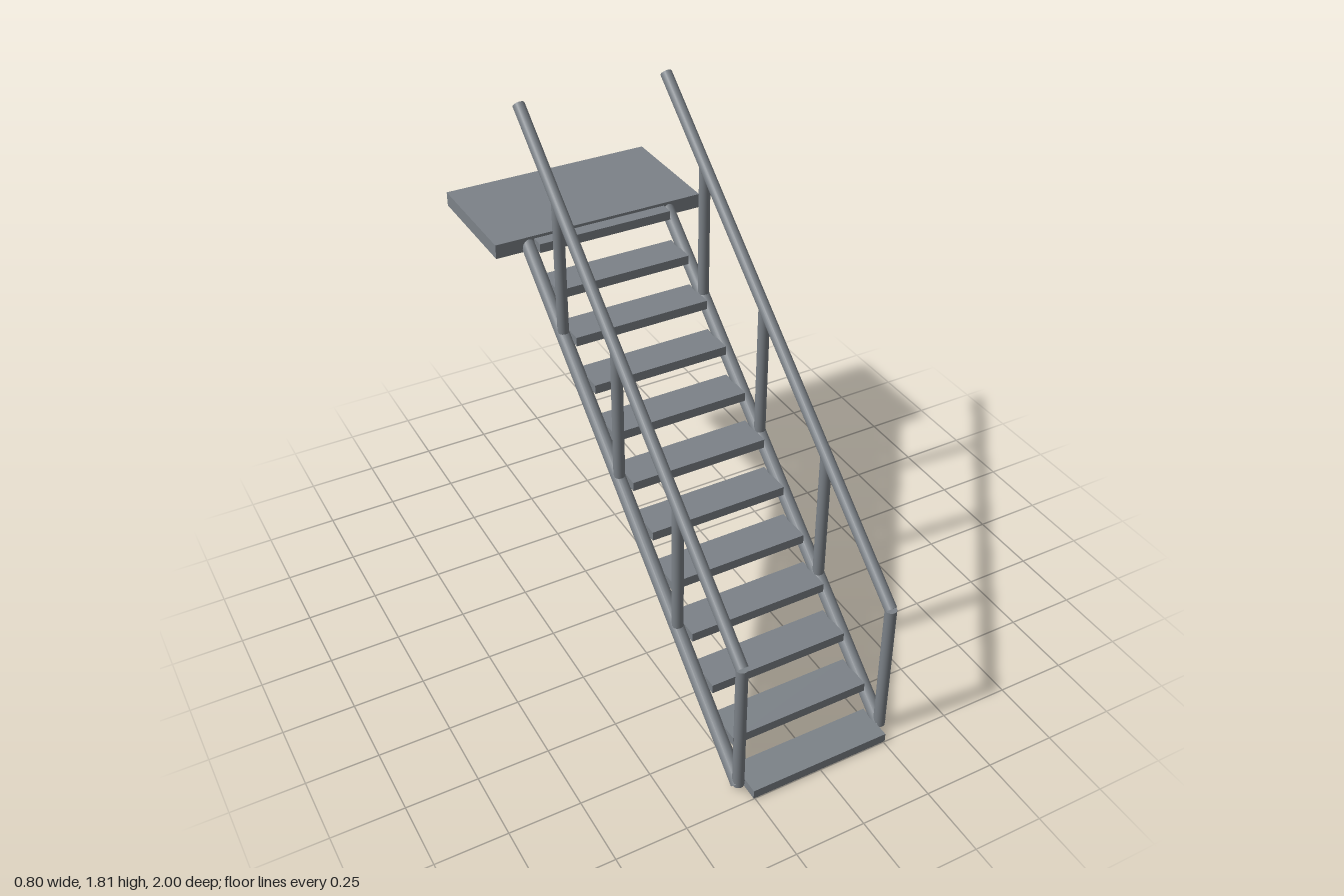
import * as THREE from 'three';

export function createModel() {
  const model = new THREE.Group();
  model.name = 'staircase';
  const steel = new THREE.MeshStandardMaterial({ color: 0x7c8288 });
  steel.name = 'grey steel';

  const steps = 12;
  const bottom = { y: 0.02, z: 0.935 };
  const top = { y: 1.278, z: -0.567 };
  const railRise = 0.514;
  const sideX = 0.275;
  const slopeY = (z) => bottom.y + ((bottom.z - z) / (bottom.z - top.z)) * (top.y - bottom.y);

  const box = (name, w, h, d, y, z) => {
    const mesh = new THREE.Mesh(new THREE.BoxGeometry(w, h, d), steel);
    mesh.name = name;
    mesh.position.set(0, y, z);
    model.add(mesh);
  };

  // Round bar between two points
  const bar = (name, a, b, radius) => {
    const dir = b.clone().sub(a);
    const mesh = new THREE.Mesh(new THREE.CylinderGeometry(radius, radius, dir.length(), 20), steel);
    mesh.name = name;
    mesh.position.copy(a).add(b).multiplyScalar(0.5);
    mesh.quaternion.setFromUnitVectors(new THREE.Vector3(0, 1, 0), dir.normalize());
    model.add(mesh);
  };

  // Treads climbing towards the back
  for (let i = 0; i < steps; i++) {
    const t = i / (steps - 1);
    box('tread', 0.51, 0.034, 0.13,
      THREE.MathUtils.lerp(bottom.y, top.y, t),
      THREE.MathUtils.lerp(bottom.z, top.z, t));
  }

  // Upper landing
  box('landing', 0.8, 0.053, 0.45, 1.279, -0.775);

  // Stringer, handrail and posts on each side
  for (const [side, x] of [['left', sideX], ['right', -sideX]]) {
    const at = (y, z) => new THREE.Vector3(x, y, z);
    bar(side + 'Stringer', at(bottom.y, bottom.z), at(top.y, top.z), 0.025);
    bar(side + 'Handrail', at(bottom.y + railRise, bottom.z), at(top.y + railRise, top.z), 0.021);
    for (let i = 0; i < 4; i++) {
      const z = bottom.z - i * 0.409;
      bar(side + 'Post', at(slopeY(z), z), at(slopeY(z) + railRise, z), 0.02);
    }
  }
  return model;
}
